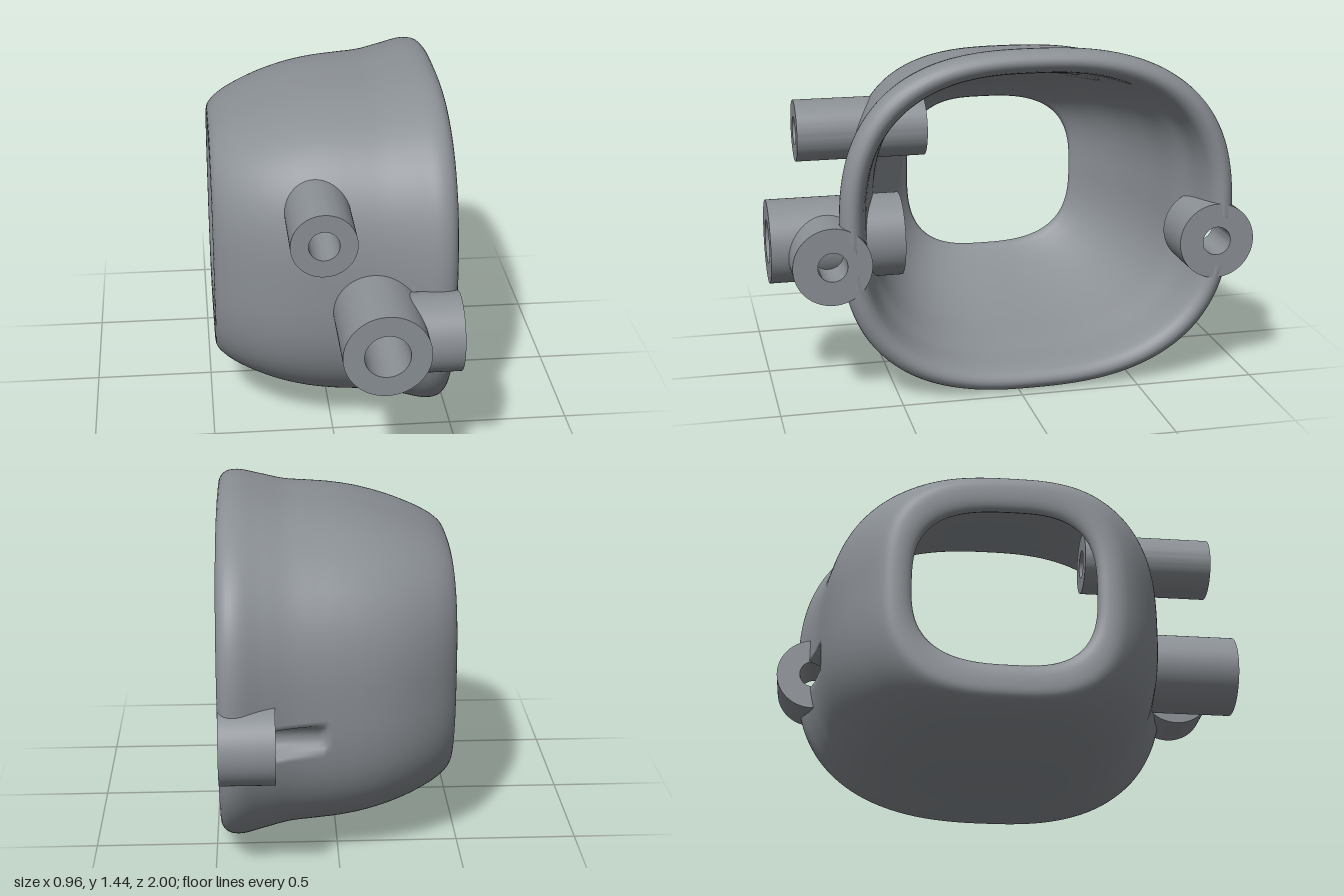
import * as THREE from 'three';
import { toCreasedNormals } from 'three/addons/utils/BufferGeometryUtils.js';

// Tubular bosses: axis, centre (a = x for 'z' bosses, z for 'x' bosses), y, radii, start and end along the axis
const BOSSES = [
  { name: 'upperFrontTube', axis: 'z', a: -0.07, y: 1.042, r: 0.13, hole: 0.06, from: 0.305, to: 0.853 },
  { name: 'lowerFrontTube', axis: 'z', a: 0.16, y: 0.635, r: 0.173, hole: 0.09, from: 0.45, to: 1.0 },
  { name: 'frontRimLug', axis: 'x', a: 0.77, y: 0.605, r: 0.16, hole: 0.06, from: 0.255, to: 0.474 },
  { name: 'rearRimLug', axis: 'x', a: -0.84, y: 0.605, r: 0.16, hole: 0.06, from: 0.255, to: 0.474 },
];
const REAR = BOSSES[3];

// Shell wall section as a closed loop: x, half height, half depth
const WALL = [
  [-0.479, 0.462, 0.46], [-0.472, 0.485, 0.486], [-0.45, 0.508, 0.517], [-0.4, 0.54, 0.565], [-0.3, 0.583, 0.632],
  [-0.2, 0.617, 0.677], [-0.1, 0.643, 0.705], [0, 0.66, 0.723], [0.1, 0.669, 0.738], [0.2, 0.677, 0.757],
  [0.3, 0.699, 0.788], [0.4, 0.718, 0.823], [0.45, 0.71, 0.817], [0.477, 0.675, 0.78], [0.455, 0.638, 0.742],
  [0.4, 0.618, 0.72], [0.3, 0.6, 0.694], [0.2, 0.578, 0.657], [0, 0.538, 0.605], [-0.2, 0.48, 0.538],
  [-0.35, 0.414, 0.459], [-0.42, 0.37, 0.407], [-0.452, 0.346, 0.38], [-0.472, 0.372, 0.4],
];

// True where a shell face falls inside a boss, so its bore stays open
function insideBoss(p) {
  return BOSSES.some((b) => {
    const mid = (b.r + b.hole) / 2;
    if (b.axis === 'z') return p.z > 0 && Math.hypot(p.x - b.a, p.y - b.y) < mid;
    return p.x > b.from + 0.015 && Math.hypot(p.z - b.a, p.y - b.y) < mid;
  });
}

function shellGeometry() {
  const U = 130, V = 240;
  const SKEW = 0.04; // the crown sits forward of the middle
  const loop = new THREE.CatmullRomCurve3(WALL.map((w) => new THREE.Vector3(...w)), true, 'centripetal');
  const points = [], index = [];
  for (let i = 0; i < U; i++) {
    const s = loop.getPointAt(i / U);
    const t = (s.x + 0.48) / 0.96;
    const n = THREE.MathUtils.lerp(2.9, 2.55, t);
    const crown = THREE.MathUtils.lerp(-0.07, -0.093, t) + SKEW;
    for (let j = 0; j < V; j++) {
      const a = (j / V) * Math.PI * 2, c = Math.cos(a), d = Math.sin(a);
      const r = (Math.abs(c) ** n + Math.abs(d) ** n) ** (-1 / n);
      const depth = c > 0 ? s.z - SKEW : s.z + SKEW;
      const p = new THREE.Vector3(s.x, 0.72 + s.y * r * d, crown + depth * r * c);
      // groove left by the rear lug's bore
      const dy = p.y - REAR.y;
      if (p.x > 0.06 && p.x < 0.3 && Math.hypot(dy, p.z - REAR.a) < REAR.hole) {
        p.z = REAR.a + Math.sqrt(REAR.hole ** 2 - dy * dy);
      }
      points.push(p);
    }
  }
  const centre = new THREE.Vector3();
  const tri = (a, b, c) => {
    centre.copy(points[a]).add(points[b]).add(points[c]).divideScalar(3);
    if (!insideBoss(centre)) index.push(a, b, c);
  };
  for (let i = 0; i < U; i++) {
    for (let j = 0; j < V; j++) {
      const i2 = (i + 1) % U, j2 = (j + 1) % V;
      const a = i * V + j, b = i2 * V + j, c = i2 * V + j2, d = i * V + j2;
      tri(a, b, c);
      tri(a, c, d);
    }
  }
  const g = new THREE.BufferGeometry().setFromPoints(points);
  g.setIndex(index);
  g.computeVertexNormals();
  return g;
}

// Ring extruded along its axis
function bossGeometry(b) {
  const ring = new THREE.Shape().absarc(0, 0, b.r, 0, Math.PI * 2, false);
  ring.holes.push(new THREE.Path().absarc(0, 0, b.hole, 0, Math.PI * 2, true));
  const g = new THREE.ExtrudeGeometry(ring, { depth: b.to - b.from, bevelEnabled: false, curveSegments: 48 });
  if (b.axis === 'x') g.rotateY(Math.PI / 2);
  return toCreasedNormals(g, 0.6);
}

export function createModel() {
  const model = new THREE.Group();
  model.name = 'housing';
  const grey = new THREE.MeshStandardMaterial({ color: 0x8b9095 });
  grey.name = 'grey';

  const shell = new THREE.Mesh(shellGeometry(), grey);
  shell.name = 'shell';
  model.add(shell);

  for (const b of BOSSES) {
    const mesh = new THREE.Mesh(bossGeometry(b), grey);
    mesh.name = b.name;
    if (b.axis === 'z') mesh.position.set(b.a, b.y, b.from);
    else mesh.position.set(b.from, b.y, b.a);
    model.add(mesh);
  }
  return model;
}
